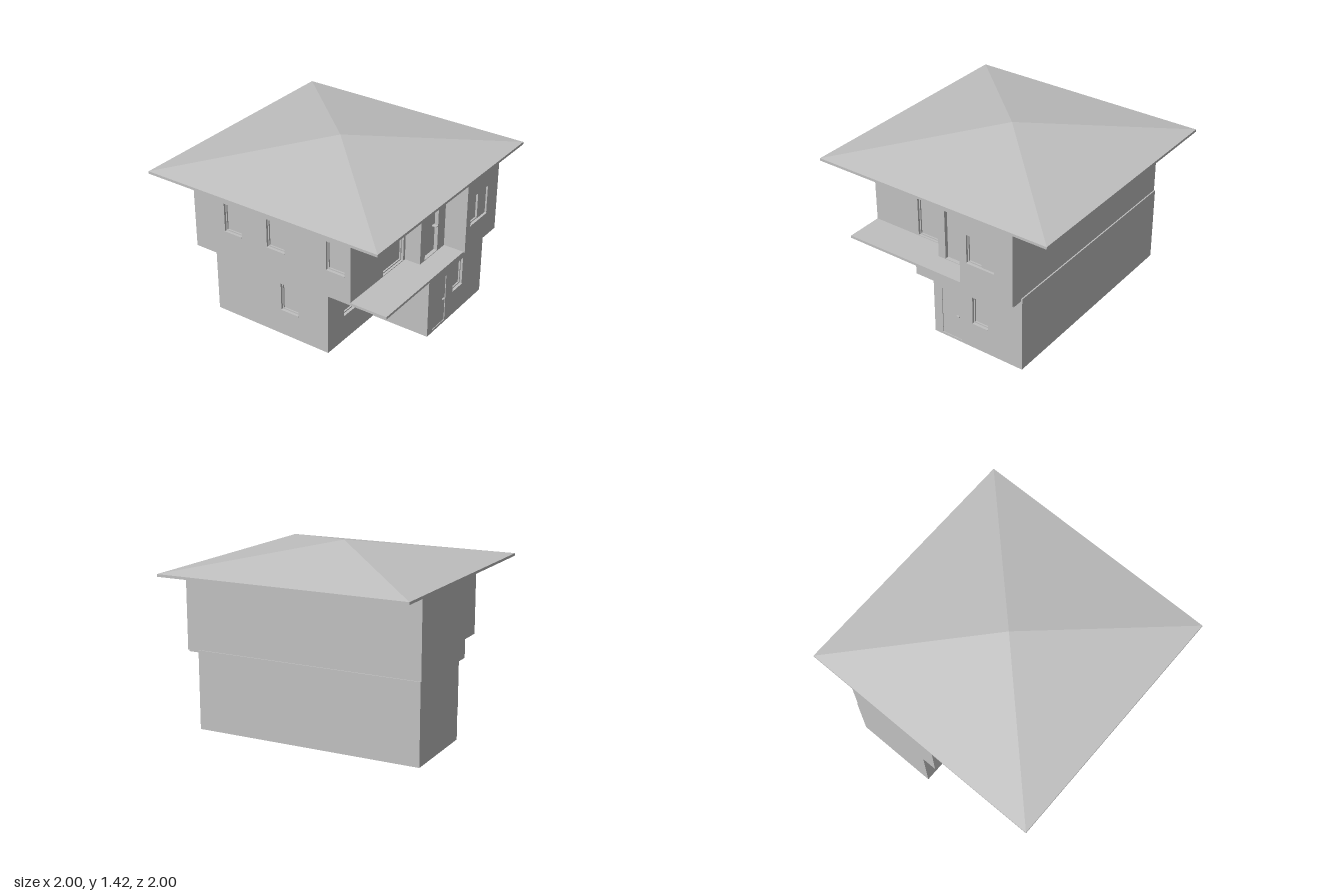
import * as THREE from 'three';

const T = 0.035; // wall panel thickness
const plaster = new THREE.MeshStandardMaterial({ color: 0xc0c0c0 });
plaster.name = 'grey plaster';

// Height of the underside of the roof above a plan point (slightly inside the shell)
const roofLine = (x, z) => 1.23 + 0.18 * (1 - Math.max(Math.abs(x), Math.abs(z)));

function add(parent, geometry, name) {
  const mesh = new THREE.Mesh(geometry, plaster);
  mesh.name = name;
  parent.add(mesh);
  return mesh;
}

function box(parent, name, u0, u1, y0, y1, z0, z1) {
  const mesh = add(parent, new THREE.BoxGeometry(u1 - u0, y1 - y0, z1 - z0), name);
  mesh.position.set((u0 + u1) / 2, (y0 + y1) / 2, (z0 + z1) / 2);
}

// Horizontal plate from a plan outline of [x, z] corners
function plate(parent, name, outline, y0, y1) {
  const shape = new THREE.Shape(outline.map(([x, z]) => new THREE.Vector2(x, -z)));
  const g = new THREE.ExtrudeGeometry(shape, { depth: y1 - y0, bevelEnabled: false });
  add(parent, g.rotateX(-Math.PI / 2).translate(0, y0, 0), name);
}

// Window or door set back inside an opening; the wall's outer face is local z = 0
function fill(wall, kind, u0, u1, y0, y1) {
  const depth = kind === 'frontDoor' ? 0.006 : 0.03;
  const mid = (u0 + u1) / 2, f = 0.009;
  box(wall, kind + 'Panel', u0, u1, y0, y1, -depth - 0.02, -depth);
  if (kind.endsWith('Door') && kind !== 'slidingDoor') {
    box(wall, 'doorHandle', u1 - 0.04, u1 - 0.015, y0 + 0.215, y0 + 0.222, -depth, 0.008);
    return;
  }
  // Frame around the glass
  box(wall, 'frameLeft', u0, u0 + f, y0, y1, -depth, -depth + 0.012);
  box(wall, 'frameRight', u1 - f, u1, y0, y1, -depth, -depth + 0.012);
  box(wall, 'frameTop', u0, u1, y1 - f, y1, -depth, -depth + 0.012);
  box(wall, 'frameBottom', u0, u1, y0, y0 + f, -depth, -depth + 0.012);
  if (kind === 'doubleWindow') box(wall, 'slidingSash', mid, u1, y0, y1, -depth, -depth + 0.016);
  if (kind !== 'slidingDoor') box(wall, 'sill', u0, u1, y0 - 0.006, y0, -0.02, 0.005);
}

// One facade panel between two plan corners, with recessed openings
// Each opening: [kind, from, to, bottom, top], measured along x or z
function buildWall(parent, name, a, b, y0, top, openings = []) {
  const dx = b[0] - a[0], dz = b[1] - a[1], length = Math.hypot(dx, dz);
  const start = Math.abs(dx) > Math.abs(dz) ? a[0] : a[1];
  const wall = new THREE.Group();
  wall.name = name;
  wall.position.set(a[0], 0, a[1]);
  wall.rotation.y = Math.atan2(-dz, dx);

  const pts = [new THREE.Vector2(0, y0), new THREE.Vector2(length, y0)];
  for (let i = 24; i >= 0; i--) {
    const t = i / 24;
    pts.push(new THREE.Vector2(t * length, top(a[0] + dx * t, a[1] + dz * t)));
  }
  const shape = new THREE.Shape(pts);
  for (const [kind, from, to, lo, hi] of openings) {
    const [u0, u1] = [Math.abs(from - start), Math.abs(to - start)].sort((p, q) => p - q);
    const corners = [[u0, lo], [u0, hi], [u1, hi], [u1, lo]];
    shape.holes.push(new THREE.Path(corners.map(([u, v]) => new THREE.Vector2(u, v))));
    fill(wall, kind, u0, u1, lo, hi);
  }
  const g = new THREE.ExtrudeGeometry(shape, { depth: T, bevelEnabled: false });
  add(wall, g.translate(0, 0, -T), 'wallPanel');
  parent.add(wall);
}

function buildStorey(parent, name, outline, y0, top, openings) {
  const storey = new THREE.Group();
  storey.name = name;
  outline.forEach((a, i) =>
    buildWall(storey, name + 'Wall' + (i + 1), a, outline[(i + 1) % outline.length], y0, top, openings[i]));
  parent.add(storey);
  return storey;
}

export function createModel() {
  const house = new THREE.Group();
  house.name = 'house';

  // Ground floor: walls run counter-clockwise from the recessed front wall
  const lower = [[-0.68, 0.37], [-0.085, 0.37], [-0.085, 0.86], [0.71, 0.86],
    [0.71, -0.96], [0.033, -0.96], [0.033, -0.675], [-0.68, -0.675]];
  const ground = buildStorey(house, 'groundFloor', lower, 0, () => 0.62, {
    0: [['window', -0.475, -0.235, 0.22, 0.45]],
    2: [['frontDoor', -0.01, 0.165, 0.005, 0.42], ['window', 0.27, 0.41, 0.22, 0.45]],
    6: [['window', -0.125, -0.28, 0.22, 0.45]],
    7: [['window', -0.06, 0.1, 0.22, 0.45]],
  });
  plate(ground, 'groundSlab', lower, 0, 0.02);

  // Floor slab, which carries on past the walls as the balcony
  plate(house, 'balconySlab', [[-0.8, 0.95], [0.7, 0.95], [0.7, -0.96],
    [-0.085, -0.96], [-0.085, -0.755], [-0.8, -0.755]], 0.6, 0.62);

  // Upper floor, with the right-hand room brought forward
  const upper = [[-0.8, 0.65], [-0.095, 0.65], [-0.095, 0.78], [0.245, 0.78], [0.245, 0.96],
    [0.7, 0.96], [0.7, -0.96], [-0.085, -0.96], [-0.085, -0.755], [-0.8, -0.755]];
  const first = buildStorey(house, 'upperFloor', upper, 0.615, roofLine, {
    0: [['slidingDoor', -0.39, -0.12, 0.625, 0.99]],
    2: [['balconyDoor', -0.03, 0.145, 0.625, 1.03]],
    4: [['doubleWindow', 0.305, 0.545, 0.82, 1.05]],
    8: [['doubleWindow', -0.17, -0.41, 0.82, 1.05]],
    9: [['window', -0.47, -0.31, 0.82, 1.05], ['window', -0.08, 0.08, 0.82, 1.05],
      ['window', 0.445, 0.6, 0.82, 1.05]],
  });
  plate(first, 'upperSlab', upper, 0.612, 0.622);

  // Square hipped roof shell with a thin rim
  const r = Math.SQRT2;
  const profile = [[0, 1.4], [r, 1.22], [r, 1.24], [0, 1.42]].map(([x, y]) => new THREE.Vector2(x, y));
  const roof = new THREE.LatheGeometry(profile, 4).rotateY(Math.PI / 4).toNonIndexed();
  roof.computeVertexNormals();
  add(house, roof, 'roof');

  return house;
}
